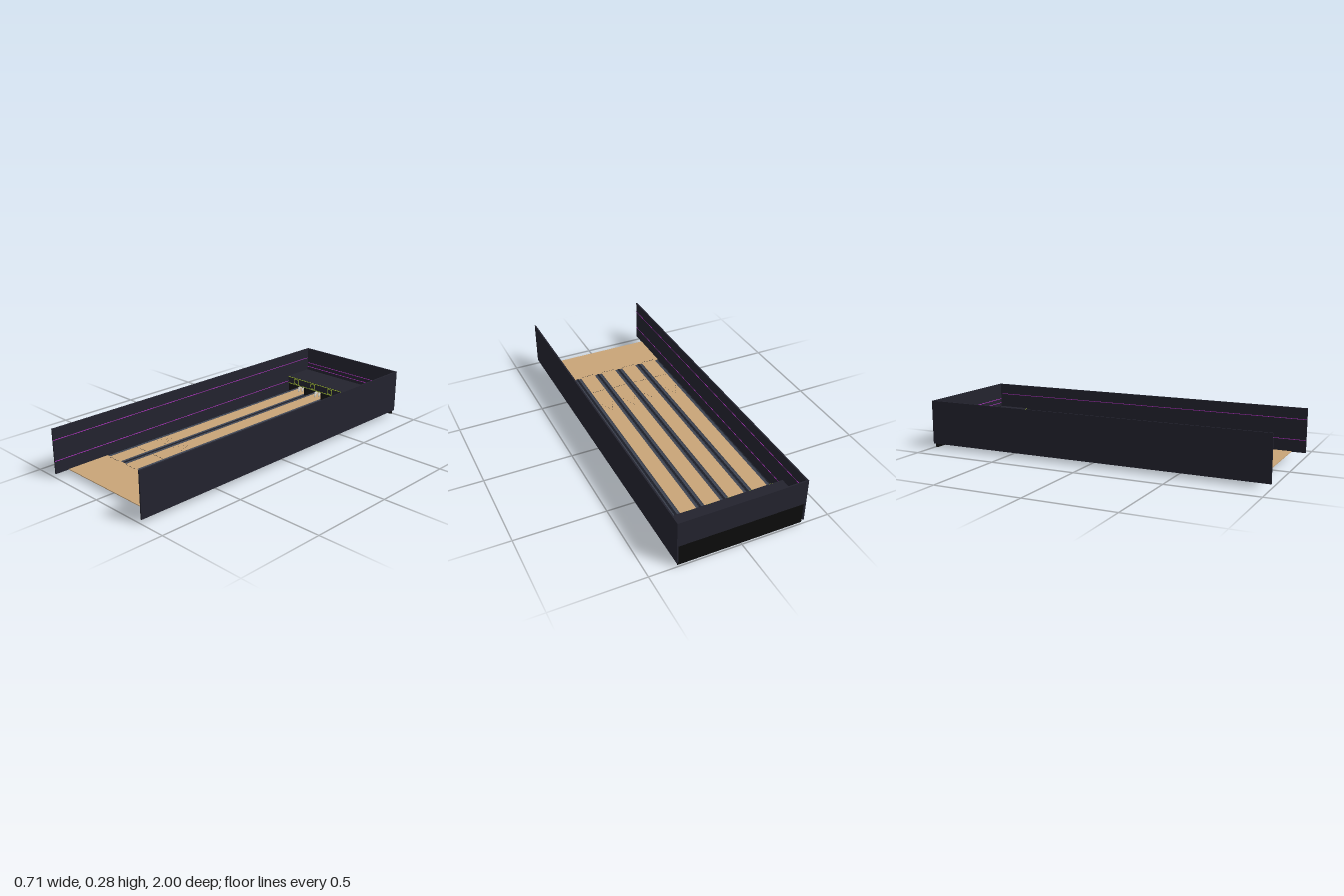
import * as THREE from 'three';

const mat = (name, color, side = THREE.FrontSide) => {
  const m = new THREE.MeshStandardMaterial({ color, side });
  m.name = name;
  return m;
};

export function createModel() {
  const root = new THREE.Group();
  root.name = 'bowlingAlley';
  const navy = mat('navy wall', 0x23232e);
  const black = mat('pit black', 0x0c0c0c);
  const wood = mat('lane wood', 0xc8a477);
  const slate = mat('gutter slate', 0x3e4452, THREE.DoubleSide);
  const dark = mat('divider dark', 0x1c1e27);
  const purple = mat('purple neon', 0xc032d2);
  const green = mat('green neon', 0xb2d136);
  const ivory = mat('pin ivory', 0xe9e6dc);

  const add = (name, geometry, material, x = 0, y = 0, z = 0, parent = root) => {
    const mesh = new THREE.Mesh(geometry, material);
    mesh.name = name;
    mesh.position.set(x, y, z);
    parent.add(mesh);
    return mesh;
  };
  // Box given by its minimum and maximum corners
  const box = (name, material, x0, x1, y0, y1, z0, z1, parent = root) =>
    add(name, new THREE.BoxGeometry(x1 - x0, y1 - y0, z1 - z0), material,
      (x0 + x1) / 2, (y0 + y1) / 2, (z0 + z1) / 2, parent);

  const pitch = 0.139, laneHalf = 0.0455, inner = 0.346, top = 0.027;
  const lineZ = 0.67, laneEnd = -0.92;

  // Side walls with two neon strips on each inner face
  for (const s of [-1, 1]) {
    const wall = box('sideWall', navy, -0.004, 0.004, 0.024, 0.275, -1, 1);
    wall.position.x = s * 0.35;
    for (const y of [0.095, 0.212])
      add('wallNeon', new THREE.BoxGeometry(0.0016, 0.003, 1.985), purple, s * 0.3458, y, 0.0072);
  }

  // Back wall, roof over the pins and black pit backing
  box('backWall', navy, -inner, inner, 0.13, 0.275, -1, -0.992);
  box('pinDeckRoof', navy, -inner, inner, 0.122, 0.13, -0.992, -0.806);
  box('pitBacking', black, -inner, inner, 0.003, 0.13, -0.992, -0.986);
  for (const y of [0.152, 0.178])
    box('backNeon', purple, -0.345, 0.345, y - 0.0015, y + 0.0015, -0.992, -0.99);

  // Fascia with its neon edges
  box('fascia', navy, -inner, inner, 0.08, 0.13, -0.806, -0.8);
  for (const y of [0.084, 0.1265])
    box('fasciaNeon', green, -0.345, 0.345, y - 0.0017, y + 0.0017, -0.8, -0.798);

  // Approach floor
  box('approach', wood, -inner, inner, 0.0225, top, lineZ, 0.92);

  // Square neon frame
  const frame = new THREE.Shape();
  const square = (path, w, h) => {
    path.moveTo(-w, -h);
    path.lineTo(w, -h);
    path.lineTo(w, h);
    path.lineTo(-w, h);
    path.closePath();
    return path;
  };
  square(frame, 0.018, 0.0158);
  frame.holes.push(square(new THREE.Path(), 0.0158, 0.0136));
  const frameGeo = new THREE.ExtrudeGeometry(frame, { depth: 0.002, bevelEnabled: false });

  // Pin profile
  const pinGeo = new THREE.LatheGeometry([
    [0, 0], [0.0028, 0], [0.0046, 0.008], [0.0052, 0.012], [0.0042, 0.018],
    [0.0021, 0.024], [0.0024, 0.028], [0.003, 0.031], [0.0022, 0.034], [0, 0.0352],
  ].map(([r, y]) => new THREE.Vector2(r, y)), 10);

  // Flat triangular aiming arrow
  const arrow = new THREE.Shape();
  arrow.moveTo(-0.002, -0.005);
  arrow.lineTo(0.002, -0.005);
  arrow.lineTo(0, 0.006);
  const arrowGeo = new THREE.ShapeGeometry(arrow).rotateX(-Math.PI / 2);

  // Shallow curved gutter, open on top
  const gutterW = pitch / 2 - laneHalf - 0.006;
  const gutterLen = lineZ - laneEnd;
  const gutterGeo = new THREE.PlaneGeometry(gutterW, gutterLen, 8, 1).rotateX(-Math.PI / 2);
  const gp = gutterGeo.attributes.position;
  for (let i = 0; i < gp.count; i++) {
    const t = gp.getX(i) / (gutterW / 2);
    gp.setY(i, -0.0035 * Math.sqrt(Math.max(0, 1 - t * t)));
  }
  gutterGeo.computeVertexNormals();

  for (let i = -2; i <= 2; i++) {
    const lane = new THREE.Group();
    lane.name = 'lane';
    lane.position.x = i * pitch;
    root.add(lane);

    box('laneBoards', wood, -laneHalf, laneHalf, 0.0225, top, laneEnd, lineZ, lane);
    for (const s of [-1, 1])
      add('gutter', gutterGeo, slate, s * (laneHalf + gutterW / 2), top - 0.0005,
        (lineZ + laneEnd) / 2, lane);
    box('pitPanel', black, -0.0635, 0.0635, 0, 0.12, -0.987, -0.984, lane);
    add('fasciaFrame', frameGeo, green, 0, 0.1045, -0.8, lane);

    // Lane markings: arrows in a V, guide dots and foul line dots
    for (let k = -3; k <= 3; k++) {
      add('aimArrow', arrowGeo, dark, k * 0.0115, top + 0.0006, 0.275 + Math.abs(k) * 0.024, lane);
      for (const z of [0.49, 0.677])
        box('guideDot', dark, k * 0.0115 - 0.002, k * 0.0115 + 0.002, top, top + 0.0006,
          z - 0.002, z + 0.002, lane);
    }

    // Ten pins in a triangle; the middle lane is cleared
    if (i !== 0)
      for (let r = 0; r < 4; r++)
        for (let c = 0; c <= r; c++)
          add('pin', pinGeo, ivory, (c - r / 2) * 0.0258, top, -0.825 - r * 0.0223, lane);
  }

  // Dividers between lanes and pit partitions
  for (let i = 0; i <= 5; i++) {
    const x = (i - 2.5) * pitch;
    const x0 = Math.max(x - 0.006, -inner), x1 = Math.min(x + 0.006, inner);
    box('laneDivider', dark, x0, x1, 0.0235, top + 0.001, laneEnd, lineZ);
    box('pitPartition', black, x0, x1, top, 0.122, -0.986, -0.806);
  }
  return root;
}
